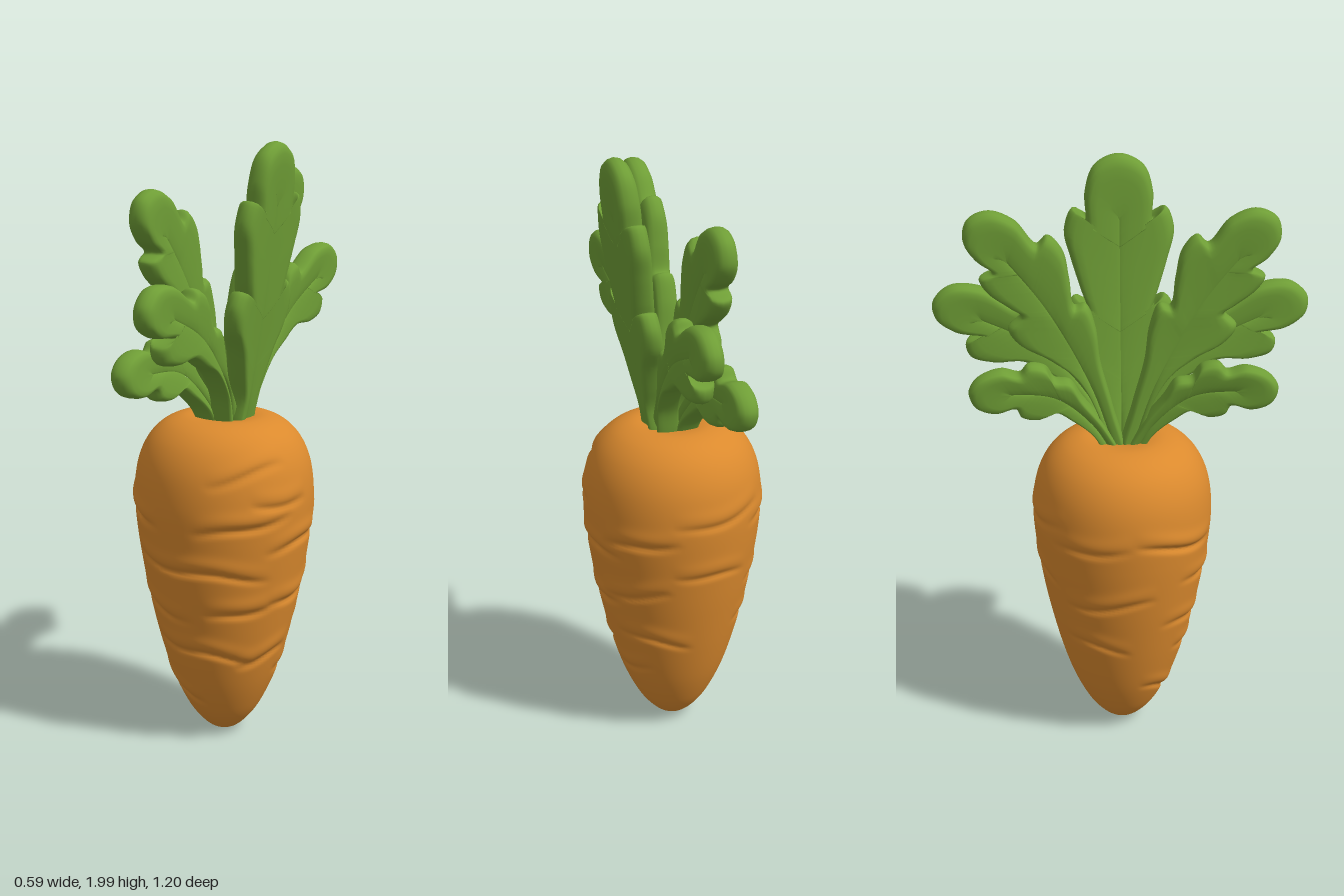
import * as THREE from 'three';
import { mergeVertices } from 'three/addons/utils/BufferGeometryUtils.js';

const orange = new THREE.MeshStandardMaterial({ color: 0xdb8a2e });
orange.name = 'carrot orange';
const green = new THREE.MeshStandardMaterial({ color: 0x6f9e36 });
green.name = 'leaf green';

const v2 = ([a, b]) => new THREE.Vector2(a, b);
const v3 = ([z, y]) => new THREE.Vector3(z, y, 0);

// Wrinkles: height, angle from the front (toward +x), half width, depth, slope
const WRINKLES = [
  [0.64, 0.1, 1.0, 0.013, -0.02], [0.80, 0.75, 0.6, 0.012, 0.05], [0.81, -0.9, 0.6, 0.013, -0.05],
  [0.97, 0.8, 0.5, 0.009, 0.06], [0.48, -0.5, 0.6, 0.009, -0.03], [0.50, 0.75, 0.5, 0.011, 0.04],
  [0.345, 0.1, 0.9, 0.012, -0.03], [0.18, -0.6, 0.7, 0.010, -0.06], [0.72, 1.6, 0.6, 0.012, 0.02],
  [0.87, 1.2, 0.4, 0.009, 0.0], [0.525, 1.6, 0.5, 0.012, 0.03], [0.32, 1.2, 0.5, 0.011, 0.04],
  [0.78, 2.4, 0.5, 0.011, 0.05], [0.58, 2.3, 0.5, 0.010, 0.05], [0.40, 2.5, 0.6, 0.009, -0.03],
  [0.86, 3.4, 0.6, 0.008, 0.03], [0.66, 3.3, 0.5, 0.008, -0.03], [0.82, -2.0, 0.5, 0.008, 0.04],
  [0.60, -1.8, 0.6, 0.010, 0.04], [0.42, -2.0, 0.5, 0.008, -0.03], [0.26, 2.0, 0.5, 0.007, 0.02],
];

// Root: turned profile, creased by soft partial grooves with a swelling above each
function rootGeometry() {
  const profile = new THREE.SplineCurve([
    [0, 0.005], [0.045, 0.018], [0.09, 0.06], [0.13, 0.12], [0.175, 0.22], [0.215, 0.35], [0.25, 0.5],
    [0.272, 0.62], [0.29, 0.75], [0.296, 0.86], [0.283, 0.96], [0.25, 1.035], [0.2, 1.085],
    [0.14, 1.108], [0.08, 1.105], [0, 1.085],
  ].map(v2)).getSpacedPoints(170);
  profile[0].x = profile[170].x = 0;
  let geo = new THREE.LatheGeometry(profile, 110);
  const pos = geo.attributes.position;
  for (let i = 0; i < pos.count; i++) {
    const x = pos.getX(i), y = pos.getY(i), z = pos.getZ(i), r = Math.hypot(x, z);
    if (r < 0.03) continue;
    const phi = Math.atan2(x, z);
    let d = 0;
    for (const [wy, wa, half, depth, slope] of WRINKLES) {
      const da = Math.atan2(Math.sin(phi - wa), Math.cos(phi - wa));
      if (Math.abs(da) > half) continue;
      const fade = Math.cos((da / half) * Math.PI / 2) ** 0.8;
      const dy = y - wy - slope * da - 0.008 * Math.sin(da * 5 + wy * 20);
      d -= depth * fade * Math.exp(-((dy / 0.012) ** 2));
      d += depth * 0.5 * fade * Math.exp(-(((dy - 0.035) / 0.025) ** 2));
    }
    const k = (r + d) / r;
    pos.setXYZ(i, x * k, y, z * k);
  }
  geo.deleteAttribute('uv');
  geo.deleteAttribute('normal');
  geo = mergeVertices(geo, 1e-5);
  geo.computeVertexNormals();
  return geo;
}

// Leaf cross-section from rim (0) to midrib (1): [inset, thickness]
const RINGS = [[0, 0], [0.02, 0.45], [0.08, 0.8], [0.18, 0.97], [0.35, 1], [0.7, 0.94], [0.93, 0.84], [1, 0.76]];

// Leaf: lobed outline in (z, y), pillowed toward its spine; x bends along the height or reach
function leafGeometry({ outline, spine, bend, side = 1 }) {
  let rim = new THREE.CatmullRomCurve3(outline.map(v3), true, 'centripetal').getPoints(180).slice(0, -1);
  rim.forEach(p => { p.x *= side; });
  if (THREE.ShapeUtils.area(rim.map(p => new THREE.Vector2(-p.x, p.y))) < 0) rim = rim.reverse();
  const mid = new THREE.CatmullRomCurve3(spine.map(v3)).getSpacedPoints(80);
  mid.forEach(p => { p.x *= side; });
  const reach = mid[0].distanceTo(mid[80]);
  // each rim point runs back along its lobe to the midrib
  const targets = rim.map(p => {
    let best = 0;
    mid.forEach((m, i) => { if (m.distanceTo(p) < mid[best].distanceTo(p)) best = i; });
    const back = best - 0.7 * mid[best].distanceTo(p) / reach * 80;
    const f = Math.max(0, Math.min(80, back)), i = Math.min(79, Math.floor(f));
    return mid[i].clone().lerp(mid[i + 1], f - i);
  });
  const verts = [], index = [], n = rim.length, p = new THREE.Vector3();
  for (const face of [1, -1]) {
    const start = verts.length / 3;
    RINGS.forEach(([inset, thick], r) => {
      rim.forEach((q, i) => {
        p.copy(q).lerp(targets[i], inset);
        const t = Math.min(1.2, p.distanceTo(mid[0]) / reach);
        verts.push(bend(t) + face * thick * 0.037, p.y, p.x);
        if (r === 0) return;
        const j = (i + 1) % n, o = start + (r - 1) * n, s = start + r * n;
        if (face > 0) index.push(o + i, o + j, s + j, o + i, s + j, s + i);
        else index.push(o + i, s + j, o + j, o + i, s + i, s + j);
      });
    });
  }
  let geo = new THREE.BufferGeometry();
  geo.setAttribute('position', new THREE.Float32BufferAttribute(verts, 3));
  geo.setIndex(index);
  geo = mergeVertices(geo, 1e-5);
  geo.computeVertexNormals();
  return geo;
}

// Tall leaf: half outline, mirrored below
const TALL_HALF = [
  [0.04, 1.07], [0.045, 1.18], [0.075, 1.26], [0.115, 1.35], [0.165, 1.43], [0.175, 1.5], [0.145, 1.548],
  [0.108, 1.515], [0.125, 1.57], [0.155, 1.67], [0.175, 1.76], [0.148, 1.83], [0.108, 1.79],
  [0.108, 1.88], [0.078, 1.965],
];
const TALL = [...TALL_HALF, [0, 2], ...TALL_HALF.map(([z, y]) => [-z, y]).reverse()];

const UPPER = [
  [0.055, 1.07], [0.08, 1.2], [0.15, 1.33], [0.24, 1.4], [0.33, 1.45], [0.36, 1.5], [0.32, 1.545],
  [0.36, 1.575], [0.42, 1.62], [0.445, 1.665], [0.405, 1.69], [0.455, 1.73], [0.49, 1.79], [0.475, 1.855],
  [0.41, 1.882], [0.33, 1.85], [0.265, 1.775], [0.23, 1.802], [0.185, 1.755], [0.165, 1.66], [0.15, 1.57],
  [0.115, 1.575], [0.085, 1.5], [0.07, 1.38], [0.03, 1.22], [0.0, 1.07],
];
const MIDDLE = [
  [0.06, 1.07], [0.1, 1.19], [0.17, 1.28], [0.24, 1.32], [0.32, 1.36], [0.42, 1.355], [0.485, 1.375],
  [0.495, 1.42], [0.44, 1.445], [0.53, 1.46], [0.59, 1.505], [0.595, 1.56], [0.54, 1.61], [0.44, 1.605],
  [0.33, 1.545], [0.305, 1.575], [0.255, 1.555], [0.225, 1.48], [0.19, 1.43], [0.155, 1.43], [0.13, 1.36],
  [0.1, 1.25], [0.04, 1.16], [0.0, 1.07],
];
const LOWER = [
  [0.05, 1.06], [0.1, 1.14], [0.17, 1.2], [0.22, 1.23], [0.28, 1.205], [0.325, 1.215], [0.345, 1.25],
  [0.41, 1.237], [0.47, 1.26], [0.49, 1.315], [0.46, 1.36], [0.39, 1.385], [0.33, 1.37], [0.3, 1.4],
  [0.25, 1.39], [0.22, 1.345], [0.17, 1.335], [0.13, 1.27], [0.06, 1.17], [0.01, 1.06],
];

export function createModel() {
  const model = new THREE.Group();
  const add = (name, geometry, material) => {
    const mesh = new THREE.Mesh(geometry, material);
    mesh.name = name;
    model.add(mesh);
  };
  add('root', rootGeometry(), orange);

  add('tallLeaf', leafGeometry({
    outline: TALL, spine: [[0, 1.07], [0, 1.5], [0, 1.88]],
    bend: t => 0.045 + 0.17 * t - 0.045 * t * t,
  }), green);

  // Three fanned leaves on each side, at slightly different depths
  for (const side of [1, -1]) {
    const label = side > 0 ? 'Front' : 'Back';
    const front = side > 0;
    add('upperLeaf' + label, leafGeometry({
      side, outline: UPPER, spine: [[0.025, 1.07], [0.1, 1.3], [0.24, 1.57], [0.4, 1.78]],
      bend: t => -0.015 + (front ? -0.003 : 0.02) * t,
    }), green);
    add('middleLeaf' + label, leafGeometry({
      side, outline: MIDDLE, spine: [[0.03, 1.07], [0.1, 1.23], [0.26, 1.41], [0.5, 1.53]],
      bend: t => 0.02 + (front ? 0.037 : 0.062) * Math.sqrt(t),
    }), green);
    add('lowerLeaf' + label, leafGeometry({
      side, outline: LOWER, spine: [[0.03, 1.06], [0.1, 1.18], [0.22, 1.285], [0.41, 1.31]],
      bend: t => -0.02 - (front ? 0.065 : 0.045) * t,
    }), green);
  }
  return model;
}
